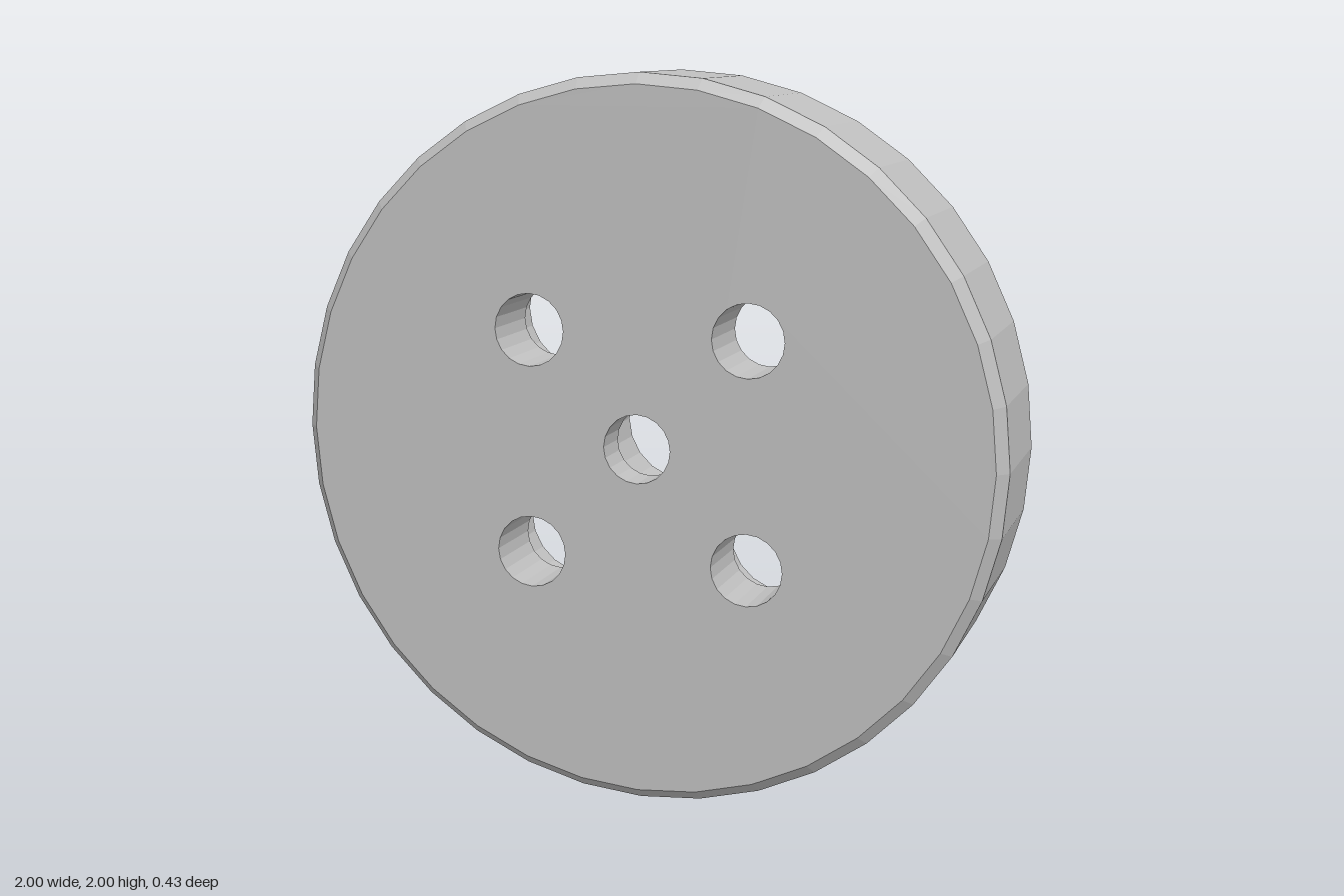
import * as THREE from 'three';

const BACK = -0.195, FRONT = 0.215, SLOT_Z = -0.165, SLOT_HALF = 0.035;
const RIM_SIDES = 36, HOLE_SIDES = 20;

// Counter-clockwise circle at depth z, starting at the top
function circle(r, z, n, cx = 0, cy = 0) {
  return Array.from({ length: n }, (_, i) => {
    const a = Math.PI / 2 + (i / n) * Math.PI * 2;
    return new THREE.Vector3(cx + r * Math.cos(a), cy + r * Math.sin(a), z);
  });
}

// The same circle, left open at the top where the slot passes
function slottedCircle(r, z, n) {
  const p = circle(r, z, n);
  const start = p[0].clone().lerp(p[1], SLOT_HALF / Math.abs(p[1].x));
  const end = start.clone();
  end.x = -start.x;
  return [start, ...p.slice(1), end];
}

// Flat-faced band joining two matching rows of points
function strip(a, b, closed = true) {
  const out = [];
  const count = closed ? a.length : a.length - 1;
  for (let i = 0; i < count; i++) {
    const j = (i + 1) % a.length;
    for (const v of [a[i], a[j], b[j], a[i], b[j], b[i]]) out.push(v.x, v.y, v.z);
  }
  const g = new THREE.BufferGeometry();
  g.setAttribute('position', new THREE.Float32BufferAttribute(out, 3));
  g.computeVertexNormals();
  return g;
}

// Flat plate with holes
function face(contour, holes, z, flip) {
  const shape = new THREE.Shape(contour.map(v => new THREE.Vector2(v.x, v.y)));
  shape.holes = holes.map(h => new THREE.Path(h.map(v => new THREE.Vector2(v.x, v.y))));
  const g = new THREE.ShapeGeometry(shape);
  if (flip) g.index.array.reverse();
  g.translate(0, 0, z);
  g.computeVertexNormals();
  return g;
}

export function createModel() {
  const model = new THREE.Group();
  model.name = 'mountingDisc';
  const steel = new THREE.MeshStandardMaterial({ color: 0xbfbfbf, side: THREE.DoubleSide });
  steel.name = 'greySteel';

  const add = (name, geometry, parent = model) => {
    const mesh = new THREE.Mesh(geometry, steel);
    mesh.name = name;
    parent.add(mesh);
  };
  // Turned part from [radius, z] pairs
  const turned = (name, profile, n, cx = 0, cy = 0) => {
    const group = new THREE.Group();
    group.name = name;
    for (let i = 0; i + 1 < profile.length; i++) {
      const [p, q] = [profile[i], profile[i + 1]];
      add(name + 'Band', strip(circle(p[0], p[1], n, cx, cy), circle(q[0], q[1], n, cx, cy)), group);
    }
    model.add(group);
  };

  const bolts = [[-0.31, 0.31], [0.31, 0.31], [-0.31, -0.31], [0.31, -0.31]];
  const pins = [[0.65, -0.215], [-0.65, 0.21]];
  const holesAt = (list, r) => list.map(([x, y]) => circle(r, 0, HOLE_SIDES, x, y));

  // Rim with front chamfer, and back chamfer interrupted by the slot
  turned('rim', [[1, SLOT_Z], [1, 0.185], [0.97, FRONT]], RIM_SIDES);
  const backEdge = slottedCircle(0.97, BACK, RIM_SIDES);
  const rimEdge = slottedCircle(1, SLOT_Z, RIM_SIDES);
  add('backChamfer', strip(backEdge, rimEdge, false));

  // Front and back faces
  add('frontFace', face(circle(0.97, 0, RIM_SIDES),
    [...holesAt(bolts, 0.1), circle(0.095, 0, HOLE_SIDES)], FRONT, false));
  const boreEdge = slottedCircle(0.17, BACK, HOLE_SIDES);
  const boreLow = slottedCircle(0.17, SLOT_Z, HOLE_SIDES);
  add('backFace', face([...backEdge, ...boreEdge.slice().reverse()],
    [...holesAt(bolts, 0.17), ...holesAt(pins, 0.15)], BACK, true));

  // Slot from the centre bore to the rim
  const first = list => list[0], last = list => list[list.length - 1];
  add('slotWall', strip([first(boreEdge), first(backEdge)], [first(boreLow), first(rimEdge)], false));
  add('slotWall', strip([last(backEdge), last(boreEdge)], [last(rimEdge), last(boreLow)], false));
  add('slotFloor', strip([first(boreLow), first(rimEdge)], [last(boreLow), last(rimEdge)], false));

  // Stepped centre bore, open to the slot at the back
  turned('centreBore', [[0.095, FRONT], [0.095, 0.105], [0.17, 0.105], [0.17, SLOT_Z]], HOLE_SIDES);
  add('centreBoreMouth', strip(boreLow, boreEdge, false));

  // Counterbored bolt holes
  for (const [x, y] of bolts) {
    turned('boltHole', [[0.1, FRONT], [0.1, 0.005], [0.17, 0.005], [0.17, BACK]], HOLE_SIDES, x, y);
  }

  // Raised hollow bushings on the back
  for (const [x, y] of pins) {
    turned('bushing', [[0, 0.105], [0.125, 0.105], [0.125, -0.2], [0.138, -0.215],
      [0.155, -0.215], [0.162, -0.208], [0.162, BACK]], 24, x, y);
  }

  model.position.y = 1;
  const root = new THREE.Group();
  root.name = 'model';
  root.add(model);
  return root;
}
